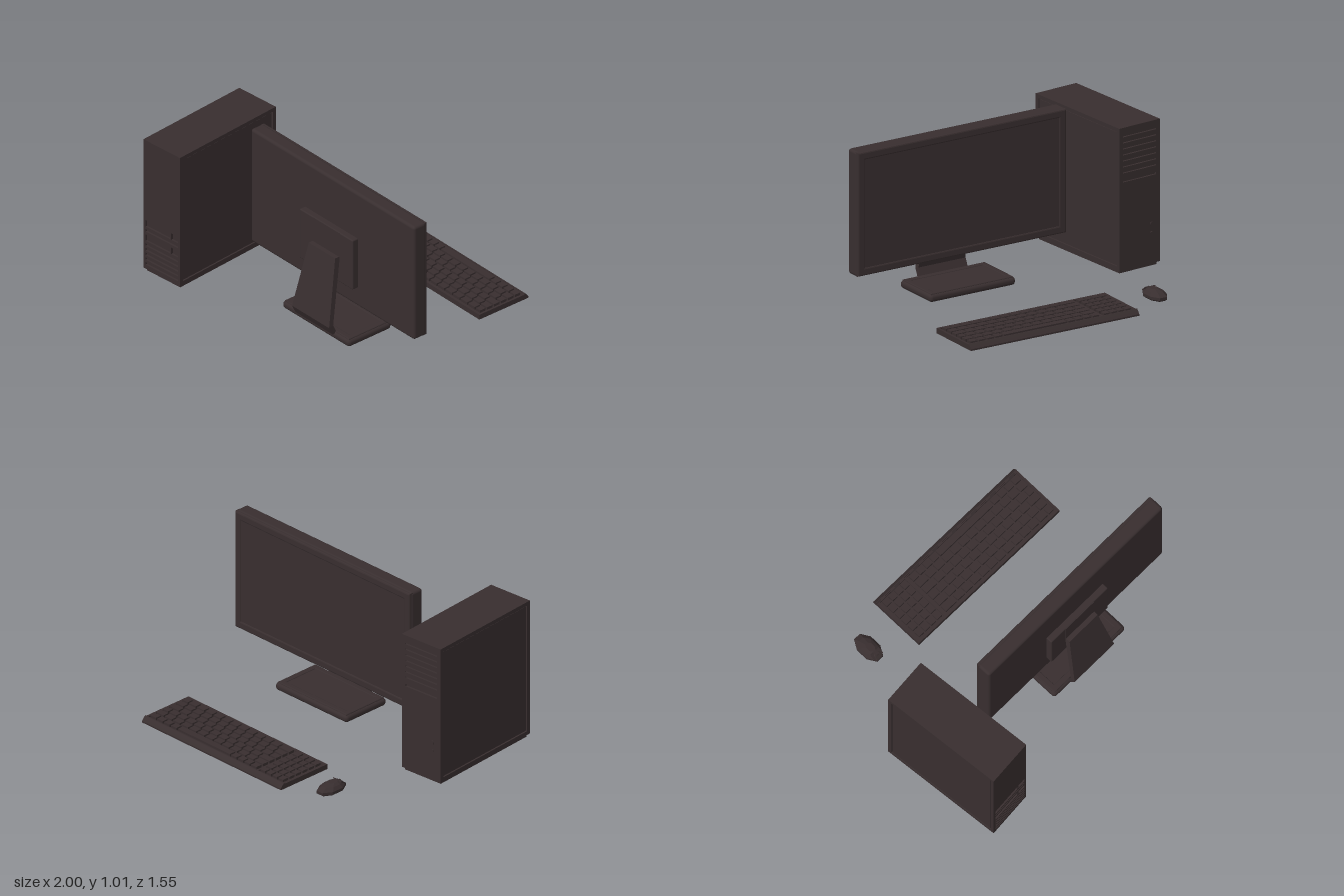
import * as THREE from 'three';
import { mergeGeometries } from 'three/addons/utils/BufferGeometryUtils.js';
import { RoundedBoxGeometry } from 'three/addons/geometries/RoundedBoxGeometry.js';

const plastic = new THREE.MeshStandardMaterial({ color: 0x382e2f });
plastic.name = 'dark plastic';

function add(parent, name, geometry, x = 0, y = 0, z = 0) {
  const mesh = new THREE.Mesh(geometry, plastic);
  mesh.name = name;
  mesh.position.set(x, y, z);
  parent.add(mesh);
  return mesh;
}

function group(parent, name, x = 0, y = 0, z = 0, turn = 0) {
  const g = new THREE.Group();
  g.name = name;
  g.position.set(x, y, z);
  g.rotation.y = turn;
  parent.add(g);
  return g;
}

const box = (w, h, d) => new THREE.BoxGeometry(w, h, d);
const rounded = (w, h, d, r) => new RoundedBoxGeometry(w, h, d, 3, r);

function rectangle(path, x0, y0, x1, y1) {
  path.moveTo(x0, y0).lineTo(x1, y0).lineTo(x1, y1).lineTo(x0, y1).closePath();
  return path;
}

// Flat plate centred on the origin with rectangular openings [x0, y0, x1, y1]
function plate(w, h, depth, openings, bevel = 0) {
  const shape = rectangle(new THREE.Shape(), -w / 2 + bevel, -h / 2 + bevel, w / 2 - bevel, h / 2 - bevel);
  for (const o of openings) shape.holes.push(rectangle(new THREE.Path(), ...o));
  return new THREE.ExtrudeGeometry(shape, {
    depth: depth - 2 * bevel, bevelEnabled: bevel > 0, bevelSize: bevel, bevelThickness: bevel, bevelSegments: 2,
  }).translate(0, 0, -depth / 2 + bevel);
}

// Side profile given as [z, y], drawn out along x
function profile(points, width) {
  const shape = new THREE.Shape(points.map((p) => new THREE.Vector2(...p)));
  return new THREE.ExtrudeGeometry(shape, { depth: width, bevelEnabled: false })
    .translate(0, 0, -width / 2).rotateY(-Math.PI / 2);
}

function buildMonitor(root) {
  const g = group(root, 'monitor', 0.245, 0, 0.24, 0.01);
  // Casing, and a bevelled bezel around the recessed screen on the -z side
  add(g, 'casing', rounded(1.49, 0.79, 0.096, 0.018), 0.005, 0.617, 0.006);
  add(g, 'bezel', plate(1.482, 0.782, 0.04, [[-0.7, -0.35, 0.7, 0.35]], 0.009), 0.005, 0.617, -0.034);
  add(g, 'screen', box(1.42, 0.72, 0.008), 0.005, 0.617, -0.044);

  // Mount behind the casing
  add(g, 'mountPlate', rounded(0.485, 0.345, 0.05, 0.008), -0.005, 0.525, 0.07);
  add(g, 'mountPanel', box(0.24, 0.17, 0.008), -0.005, 0.61, 0.093);

  // Leaning stand, narrowing upward
  const arm = profile([[0.09, 0.53], [0.127, 0.53], [0.217, 0.1], [0.19, 0.045], [0.158, 0.045], [0.184, 0.107]], 1);
  const p = arm.attributes.position;
  for (let i = 0; i < p.count; i++) {
    const t = Math.max(0, (p.getY(i) - 0.09) / 0.44);
    p.setX(i, p.getX(i) * (0.34 - 0.1 * t));
  }
  arm.computeVertexNormals();
  add(g, 'standArm', arm, -0.005);
  add(g, 'standBase', rounded(0.61, 0.05, 0.34, 0.022), -0.005, 0.032, 0.01);
  add(g, 'standRim', plate(0.585, 0.315, 0.02, [[-0.26, -0.125, 0.26, 0.125]], 0.006).rotateX(-Math.PI / 2), -0.005, 0.052, 0.01);
}

function buildTower(root) {
  const g = group(root, 'tower', -0.8135, 0, 0.351, 0.09);
  add(g, 'core', box(0.285, 0.9, 0.79), 0, 0.47, 0);
  add(g, 'plinth', box(0.28, 0.022, 0.785), 0, 0.011, 0);
  add(g, 'topCover', box(0.305, 0.012, 0.816), 0, 0.914, 0);

  // Framed side panels
  for (const side of [-1, 1]) {
    const frame = plate(0.816, 0.89, 0.01, [[-0.383, -0.42, 0.383, 0.43]]).rotateY(Math.PI / 2);
    add(g, 'sideFrame', frame, side * 0.1475, 0.465, 0);
    add(g, 'sidePanel', box(0.008, 0.84, 0.756), side * 0.144, 0.47, 0);
  }

  // Rear face on the +z side, with connector bays and expansion slots
  const slots = [];
  for (const y of [0.315, 0.215]) {
    slots.push([-0.135, y - 0.465, 0.07, y - 0.42], [0.08, y - 0.465, 0.138, y - 0.42]);
  }
  for (const y of [0.28, 0.18, 0.147, 0.114, 0.081, 0.048]) {
    slots.push([-0.135, y - 0.465, 0.138, y - 0.447]);
  }
  add(g, 'rearPlate', plate(0.286, 0.89, 0.013, slots), 0, 0.465, 0.4015);

  // User face on the -z side, with drive bays, a divider groove and buttons
  const bays = [];
  for (let i = 0; i < 7; i++) bays.push([-0.125, 0.395 - i * 0.038, 0.125, 0.403 - i * 0.038]);
  bays.push([-0.125, 0.11, 0.125, 0.125]);
  add(g, 'facePlate', plate(0.286, 0.89, 0.013, bays), 0, 0.465, -0.4015);
  for (const [y, r] of [[0.27, 0.012], [0.215, 0.008]]) {
    add(g, 'button', new THREE.CylinderGeometry(r, r, 0.008, 12).rotateX(Math.PI / 2), -0.09, y, -0.41);
  }
}

function buildKeyboard(root) {
  const g = group(root, 'keyboard', 0.205, 0, 0);
  add(g, 'keyboardBase', profile(
    [[-0.775, 0.005], [-0.39, 0.005], [-0.39, 0.028], [-0.765, 0.028], [-0.775, 0.015]], 1.19));
  // Deck with wells for the number pad and the main keys
  const wells = [[-0.575, -0.165, -0.365, 0.165], [-0.35, -0.165, 0.58, 0.165]];
  add(g, 'keyboardDeck', plate(1.19, 0.365, 0.01, wells).rotateX(-Math.PI / 2), 0, 0.033, -0.5725);
  add(g, 'keyboardLip', profile([[-0.765, 0.028], [-0.745, 0.028], [-0.745, 0.043], [-0.752, 0.043]], 1.19));

  const keys = [];
  const key = (x0, x1, z) => keys.push(box(x1 - x0 - 0.012, 0.02, 0.042).translate((x0 + x1) / 2, 0.037, z));
  for (let row = 0; row < 6; row++) {
    const z = -0.71 + row * 0.0545;
    for (let i = 0; i < 4; i++) key(-0.572 + i * 0.051, -0.521 + i * 0.051, z);
    if (row === 0) {
      // Bottom row with the space bar
      for (let i = 0; i < 4; i++) {
        key(-0.345 + i * 0.057, -0.288 + i * 0.057, z);
        key(0.34 + i * 0.059, 0.399 + i * 0.059, z);
      }
      key(-0.117, 0.34, z);
    } else {
      // Staggered rows, with the outer keys filling the ends
      const start = -0.28 + (row % 3) * 0.018;
      key(-0.345, start, z);
      for (let i = 0; i < 11; i++) key(start + i * 0.07, start + (i + 1) * 0.07, z);
      key(start + 0.77, 0.577, z);
    }
  }
  add(g, 'keys', mergeGeometries(keys));
}

function buildMouse(root) {
  const g = group(root, 'mouse', -0.6225, 0, 0);
  // Eight-sided body: each ring is [y, half width, z back, z front]
  const rings = [
    [0.02, 0.046, -0.665, -0.5], [0.03, 0.058, -0.68, -0.485], [0.048, 0.058, -0.68, -0.485],
    [0.068, 0.042, -0.645, -0.51], [0.079, 0.022, -0.6, -0.535],
  ];
  const r = 1 / Math.cos(Math.PI / 8);
  const body = new THREE.CylinderGeometry(r, r, 4, 8, 4).rotateY(Math.PI / 8).toNonIndexed();
  const p = body.attributes.position;
  for (let i = 0; i < p.count; i++) {
    const [y, w, z0, z1] = rings[Math.round(p.getY(i) + 2)];
    p.setXYZ(i, p.getX(i) * w, y, (z0 + z1) / 2 + p.getZ(i) * (z1 - z0) / 2);
  }
  body.computeVertexNormals();
  add(g, 'mouseBody', body);
  for (const side of [-1, 1]) {
    add(g, 'mouseButton', box(0.03, 0.006, 0.045), side * 0.02, 0.064, -0.515).rotation.x = 0.6;
  }
  add(g, 'scrollWheel', new THREE.CylinderGeometry(0.012, 0.012, 0.008, 10).rotateZ(Math.PI / 2), 0, 0.062, -0.515);
}

export function createModel() {
  const root = new THREE.Group();
  root.name = 'desktopComputer';
  buildMonitor(root);
  buildTower(root);
  buildKeyboard(root);
  buildMouse(root);
  return root;
}
